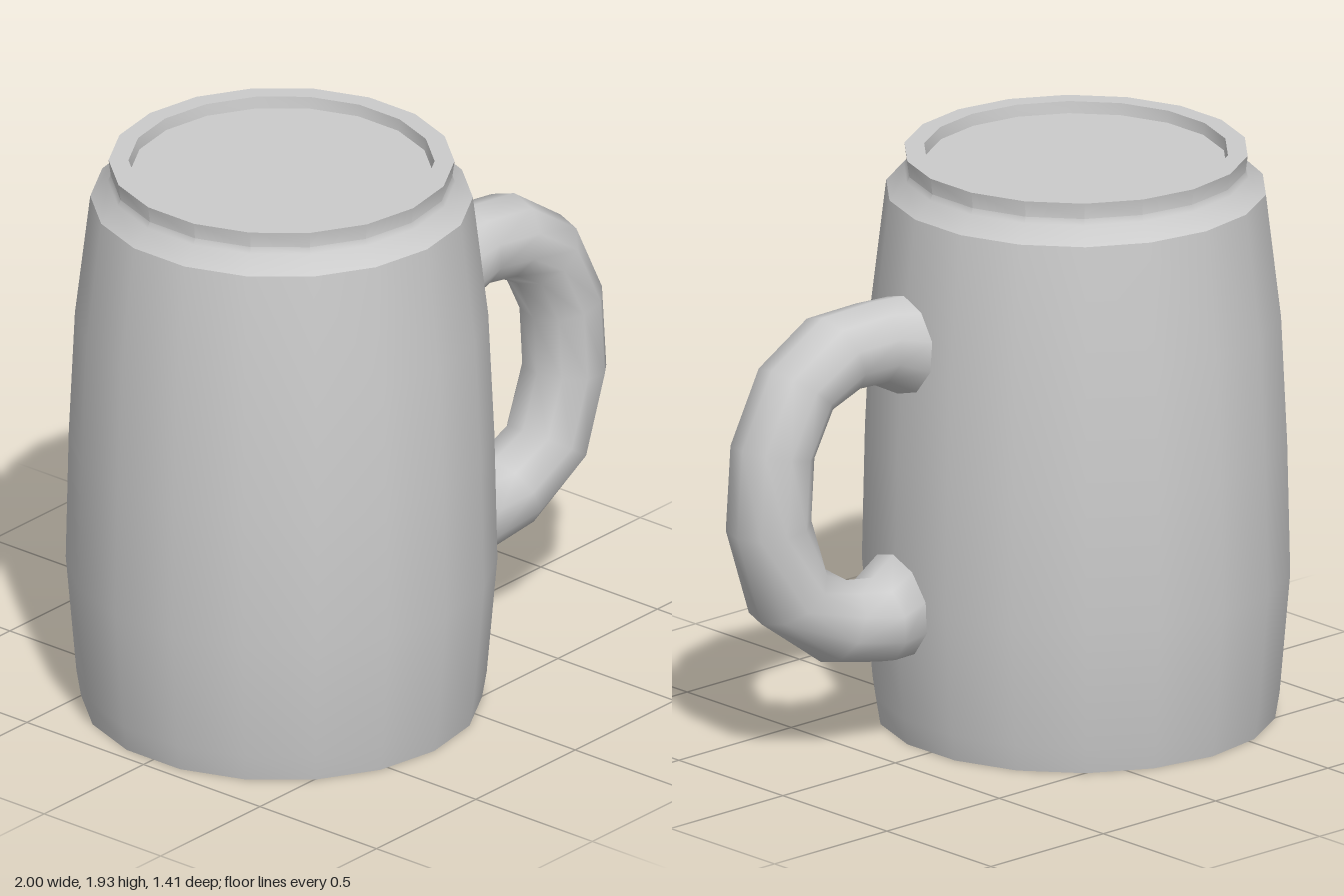
import * as THREE from 'three';
import { toCreasedNormals } from 'three/addons/utils/BufferGeometryUtils.js';

const BODY_X = -0.305;
const material = new THREE.MeshStandardMaterial({ color: 0xcccccc });

// Outer wall of the mug as [radius, height], from the open mouth upward
const outerWall = [
  [0.655, 0], [0.67, 0.09], [0.705, 0.5], [0.695, 0.95], [0.675, 1.38], [0.625, 1.8],
];

function wallRadius(y) {
  for (let i = 1; i < outerWall.length; i++) {
    const [r0, y0] = outerWall[i - 1], [r1, y1] = outerWall[i];
    if (y <= y1) return r0 + (r1 - r0) * (y - y0) / (y1 - y0);
  }
  return outerWall.at(-1)[0];
}

// Hollow body standing on its mouth, with a recessed base on top
function createBody() {
  const profile = [
    [0, 1.76], [0.54, 1.76], [0.6, 1.38], [0.625, 0.5], [0.585, 0.06], [0.625, 0],
    ...outerWall,
    [0.567, 1.855], [0.558, 1.875], [0.565, 1.93], [0.5, 1.93], [0.495, 1.89], [0, 1.89],
  ].map(([r, y]) => new THREE.Vector2(r, y));
  const mesh = new THREE.Mesh(toCreasedNormals(new THREE.LatheGeometry(profile, 18), 0.6), material);
  mesh.name = 'mugBody';
  mesh.position.x = BODY_X;
  return mesh;
}

// Handle swept through rings, swung slightly forward, its ends fitted to the wall
function createHandle() {
  const SIDES = 10;
  // Centre x, centre y, radius of each ring
  const rings = [
    [0.32, 1.375, 0.165], [0.46, 1.4, 0.14], [0.61, 1.39, 0.142], [0.755, 1.295, 0.138],
    [0.845, 1.095, 0.138], [0.86, 0.845, 0.139], [0.785, 0.595, 0.141], [0.61, 0.47, 0.14],
    [0.45, 0.445, 0.147], [0.345, 0.485, 0.175],
  ];
  const positions = [], indices = [];
  rings.forEach(([cx, cy, r], i) => {
    const a = rings[Math.max(i - 1, 0)], b = rings[Math.min(i + 1, rings.length - 1)];
    const tangent = new THREE.Vector2(b[0] - a[0], b[1] - a[1]).normalize();
    const isEnd = i === 0 || i === rings.length - 1;
    for (let j = 0; j < SIDES; j++) {
      const t = j / SIDES * Math.PI * 2;
      const out = Math.cos(t) * r;
      let x = cx - tangent.y * out;
      const y = cy + (isEnd ? (i ? -1 : 1) * out : tangent.x * out);
      const z = 0.13 + (cx - 0.33) * 0.17 + Math.sin(t) * r * 1.04;
      if (isEnd) x = BODY_X + Math.sqrt(wallRadius(y) ** 2 - z * z) + 0.004;
      positions.push(x, y, z);
      if (i) {
        const k = (j + 1) % SIDES, p = (i - 1) * SIDES, q = i * SIDES;
        indices.push(p + j, p + k, q + j, q + j, p + k, q + k);
      }
    }
  });
  const geometry = new THREE.BufferGeometry();
  geometry.setAttribute('position', new THREE.Float32BufferAttribute(positions, 3));
  geometry.setIndex(indices);
  geometry.computeVertexNormals();
  const mesh = new THREE.Mesh(geometry, material);
  mesh.name = 'handle';
  return mesh;
}

export function createModel() {
  const group = new THREE.Group();
  group.name = 'mug';
  group.add(createBody(), createHandle());
  return group;
}
